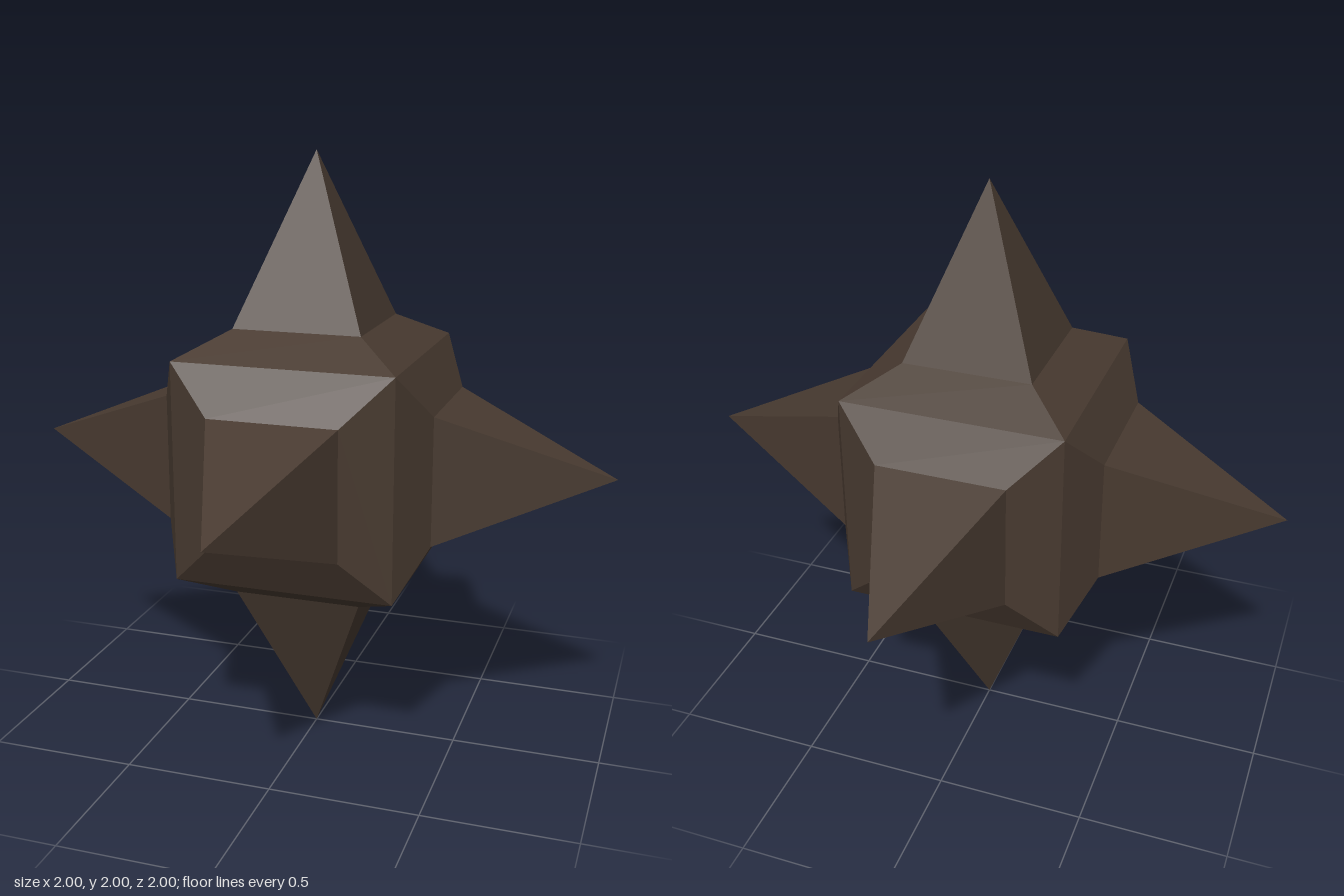
import * as THREE from 'three';

const CORE = 0.365;   // half width of the cubic core
const BASE = 0.213;   // half width of a spike's base
const BASE_AT = 0.45; // distance of a spike's base from the centre
const TIP_AT = 1;

// Four-sided frustum along +y, between two heights with given half widths
function frustum(bottomHalf, topHalf, y0, y1) {
  const g = new THREE.CylinderGeometry(
    topHalf * Math.SQRT2, bottomHalf * Math.SQRT2, y1 - y0, 4, 1, true);
  g.rotateY(Math.PI / 4);
  g.translate(0, (y0 + y1) / 2, 0);
  const flat = g.toNonIndexed();
  flat.computeVertexNormals();
  return flat;
}

export function createModel() {
  const darkBrown = new THREE.MeshStandardMaterial({ color: 0x483a30 });
  darkBrown.name = 'darkBrown';

  const model = new THREE.Group();
  model.name = 'spikedStar';

  const collarGeometry = frustum(CORE, BASE, CORE, BASE_AT);
  const spikeGeometry = frustum(BASE, 0, BASE_AT, TIP_AT);

  // One bevelled collar and spike on each side of the core
  const sides = [
    ['top', 0, 0],
    ['bottom', Math.PI, 0],
    ['front', Math.PI / 2, 0],
    ['back', -Math.PI / 2, 0],
    ['left', 0, -Math.PI / 2],
    ['right', 0, Math.PI / 2],
  ];
  for (const [name, rx, rz] of sides) {
    const arm = new THREE.Group();
    arm.name = name + 'Arm';
    const collar = new THREE.Mesh(collarGeometry, darkBrown);
    collar.name = name + 'Collar';
    const spike = new THREE.Mesh(spikeGeometry, darkBrown);
    spike.name = name + 'Spike';
    arm.add(collar, spike);
    arm.rotation.set(rx, 0, rz);
    arm.position.y = 1;
    model.add(arm);
  }
  return model;
}
